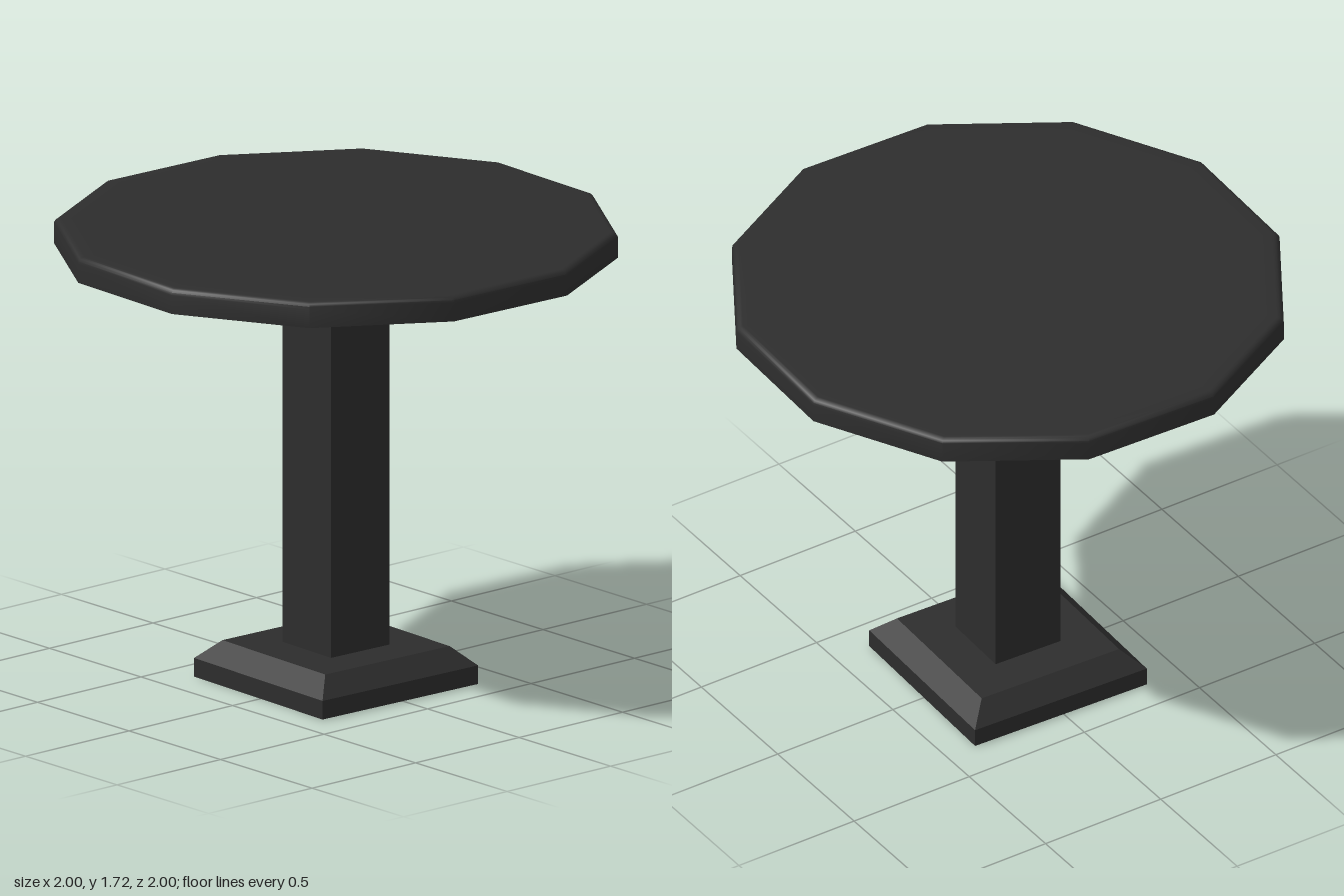
import * as THREE from 'three';
import { toCreasedNormals } from 'three/addons/utils/BufferGeometryUtils.js';

const TWIST = THREE.MathUtils.degToRad(-1.9);

export function createModel() {
  const model = new THREE.Group();
  model.name = 'pedestalTable';
  const charcoal = new THREE.MeshStandardMaterial({ color: 0x2d2d2d });
  charcoal.name = 'charcoal';

  // Turned solid: profile of [radius, height] points from the bottom centre to the top centre
  function addTurned(name, profile, sides) {
    const points = profile.map(([r, y]) => new THREE.Vector2(r, y));
    const lathe = new THREE.LatheGeometry(points, sides, Math.PI / sides);
    const mesh = new THREE.Mesh(toCreasedNormals(lathe, THREE.MathUtils.degToRad(35)), charcoal);
    mesh.name = name;
    model.add(mesh);
  }

  // Square solids use half widths, scaled to the corner radius
  const square = (profile) => profile.map(([half, y]) => [half * Math.SQRT2, y]);

  // Chamfered foot
  addTurned('base', square([[0, 0], [0.365, 0], [0.365, 0.07], [0.292, 0.14], [0, 0.14]]), 4);

  // Square post
  addTurned('post', square([[0, 0.13], [0.138, 0.13], [0.138, 1.63], [0, 1.63]]), 4);

  // Twelve-sided top with a rounded upper edge
  const radius = 1.026, top = 1.715, bevel = 0.025;
  const edge = [];
  for (let i = 0; i <= 4; i++) {
    const a = (i / 4) * Math.PI / 2;
    edge.push([radius - bevel + bevel * Math.cos(a), top - bevel + bevel * Math.sin(a)]);
  }
  addTurned('tabletop', [[0, 1.62], [radius, 1.62], ...edge, [0.96, top], [0, top]], 12);

  model.rotation.y = TWIST;
  return model;
}
